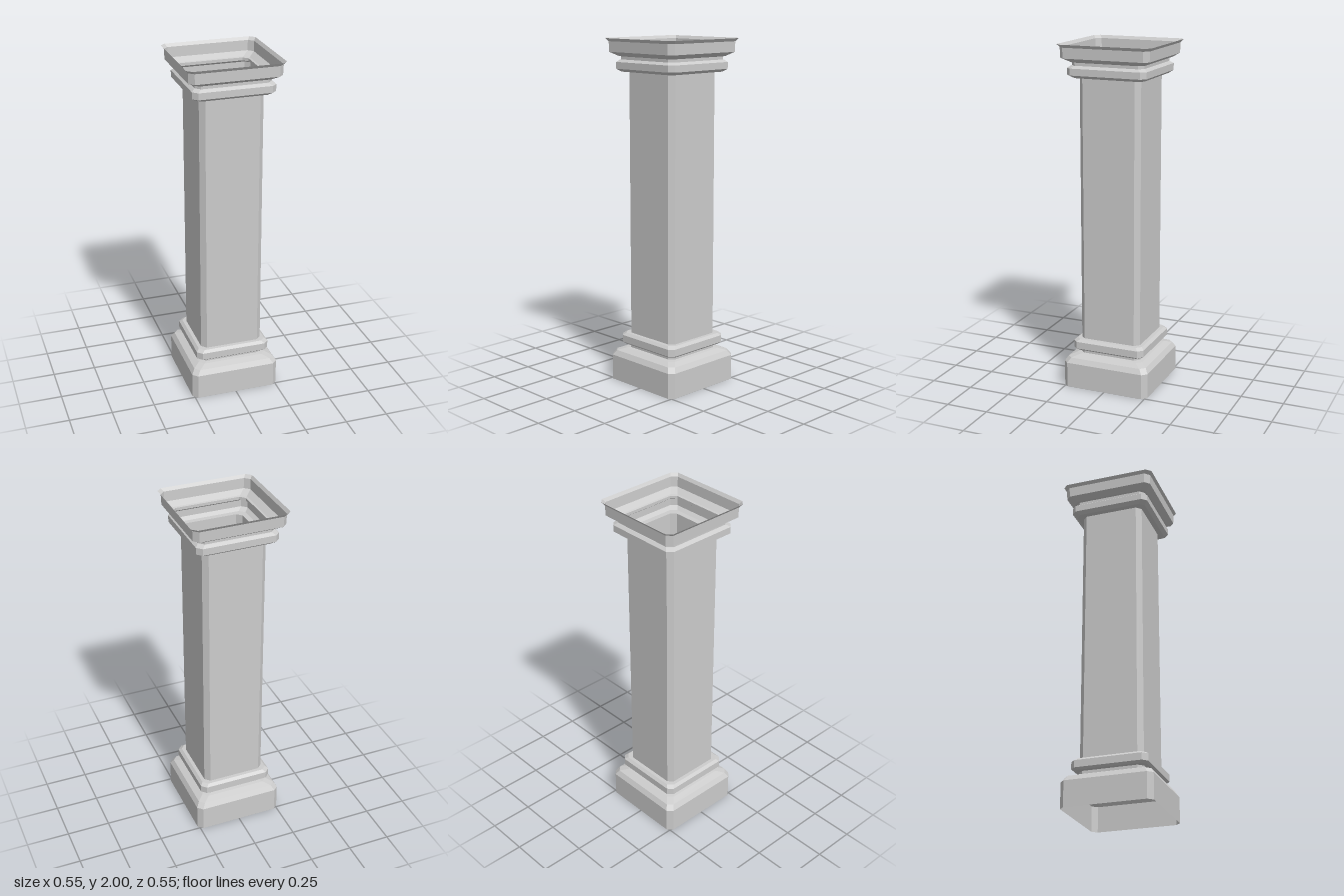
import * as THREE from 'three';

const BEVEL = 0.028; // corner cut shared by every level of the pillar

const material = new THREE.MeshStandardMaterial({
  color: 0xcccccc, flatShading: true, side: THREE.DoubleSide,
});

// Square with cut corners, half-width r, at height y
function section([r, y]) {
  const c = r - BEVEL;
  return [[r, -c], [r, c], [c, r], [-c, r], [-r, c], [-r, -c], [-c, -r], [c, -r]]
    .map(([x, z]) => [x, y, z]);
}

// Open shell lofted through [half-width, height] steps, bottom to top
function shell(name, profile) {
  const positions = [];
  const rings = profile.map(section);
  for (let k = 0; k < rings.length - 1; k++) {
    for (let i = 0; i < 8; i++) {
      const j = (i + 1) % 8;
      const a = rings[k][i], b = rings[k][j];
      const c = rings[k + 1][i], d = rings[k + 1][j];
      positions.push(...a, ...c, ...b, ...b, ...c, ...d);
    }
  }
  const geometry = new THREE.BufferGeometry();
  geometry.setAttribute('position', new THREE.Float32BufferAttribute(positions, 3));
  geometry.computeVertexNormals();
  const mesh = new THREE.Mesh(geometry, material);
  mesh.name = name;
  return mesh;
}

export function createModel() {
  const pillar = new THREE.Group();
  pillar.name = 'pillar';
  pillar.add(
    // Plinth with sloped shoulder and short neck
    shell('base', [[0.261, 0], [0.261, 0.148], [0.243, 0.177], [0.205, 0.192], [0.185, 0.196], [0.185, 0.216]]),
    // Collar above the plinth
    shell('lowerCollar', [[0.185, 0.216], [0.205, 0.218], [0.219, 0.229], [0.219, 0.27], [0.203, 0.284], [0.183, 0.285]]),
    shell('shaft', [[0.183, 0.285], [0.183, 1.813]]),
    // Collar under the capital
    shell('upperCollar', [[0.183, 1.813], [0.213, 1.814], [0.235, 1.83], [0.235, 1.868], [0.219, 1.88], [0.215, 1.882]]),
    // Neck, flared capital and thin lip, open at the top
    shell('capital', [[0.215, 1.882], [0.215, 1.899], [0.226, 1.902], [0.262, 1.924], [0.264, 1.983], [0.277, 2]]),
  );
  return pillar;
}
